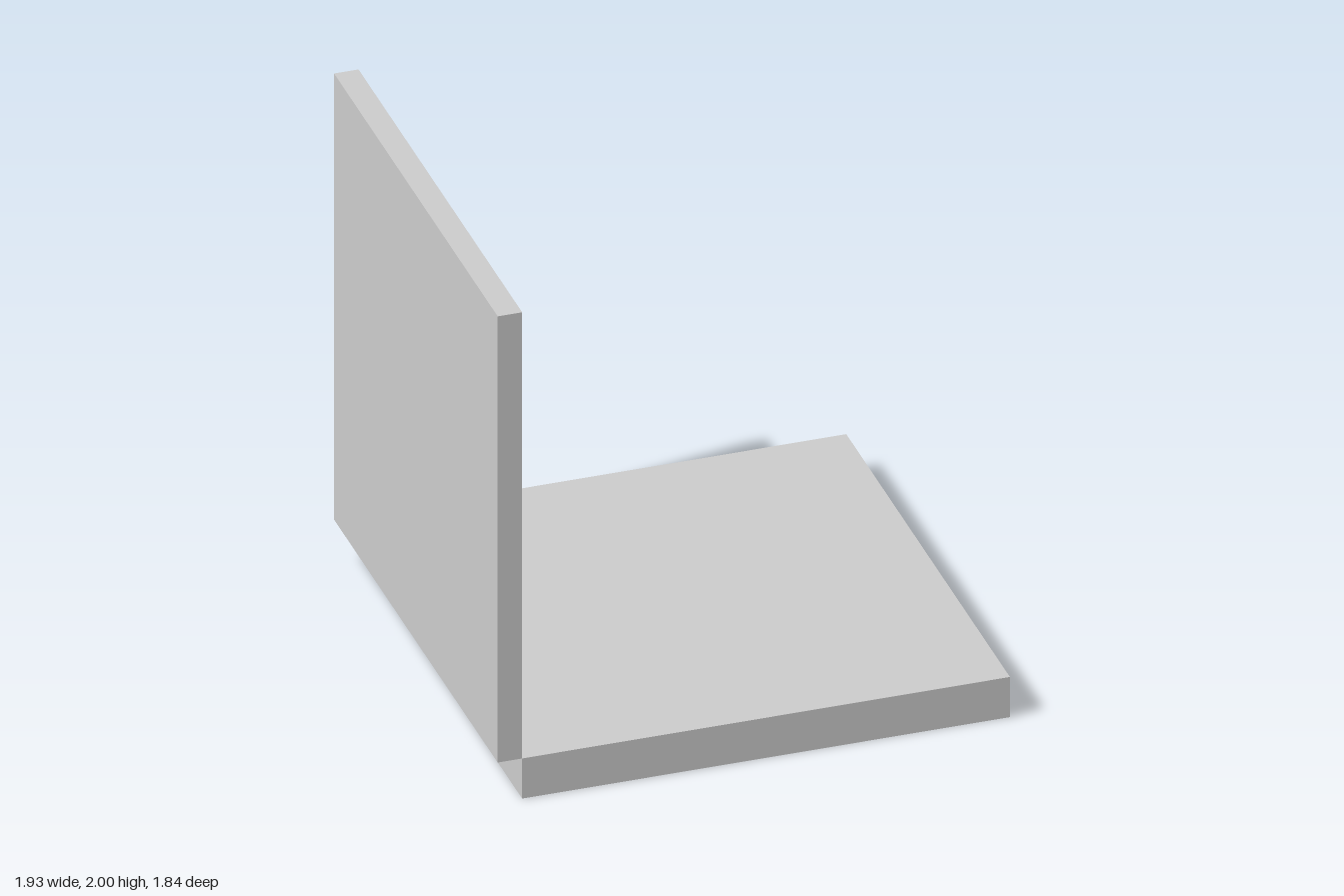
import * as THREE from 'three';

const SIDE = 1.835;   // both panels are square
const BASE_T = 0.165; // base thickness
const WALL_T = 0.092; // backrest thickness

export function createModel() {
  const group = new THREE.Group();
  const material = new THREE.MeshStandardMaterial({ color: 0xcccccc, flatShading: true });

  const addPanel = (name, width, height, x, bottom) => {
    const mesh = new THREE.Mesh(new THREE.BoxGeometry(width, height, SIDE), material);
    mesh.name = name;
    mesh.position.set(x, bottom + height / 2, 0);
    group.add(mesh);
  };

  // Thick slab lying on the ground
  addPanel('basePanel', SIDE, BASE_T, WALL_T / 2, 0);
  // Thin upright panel, meeting the slab along its top edge
  addPanel('uprightPanel', WALL_T, SIDE, -SIDE / 2, BASE_T);

  return group;
}
